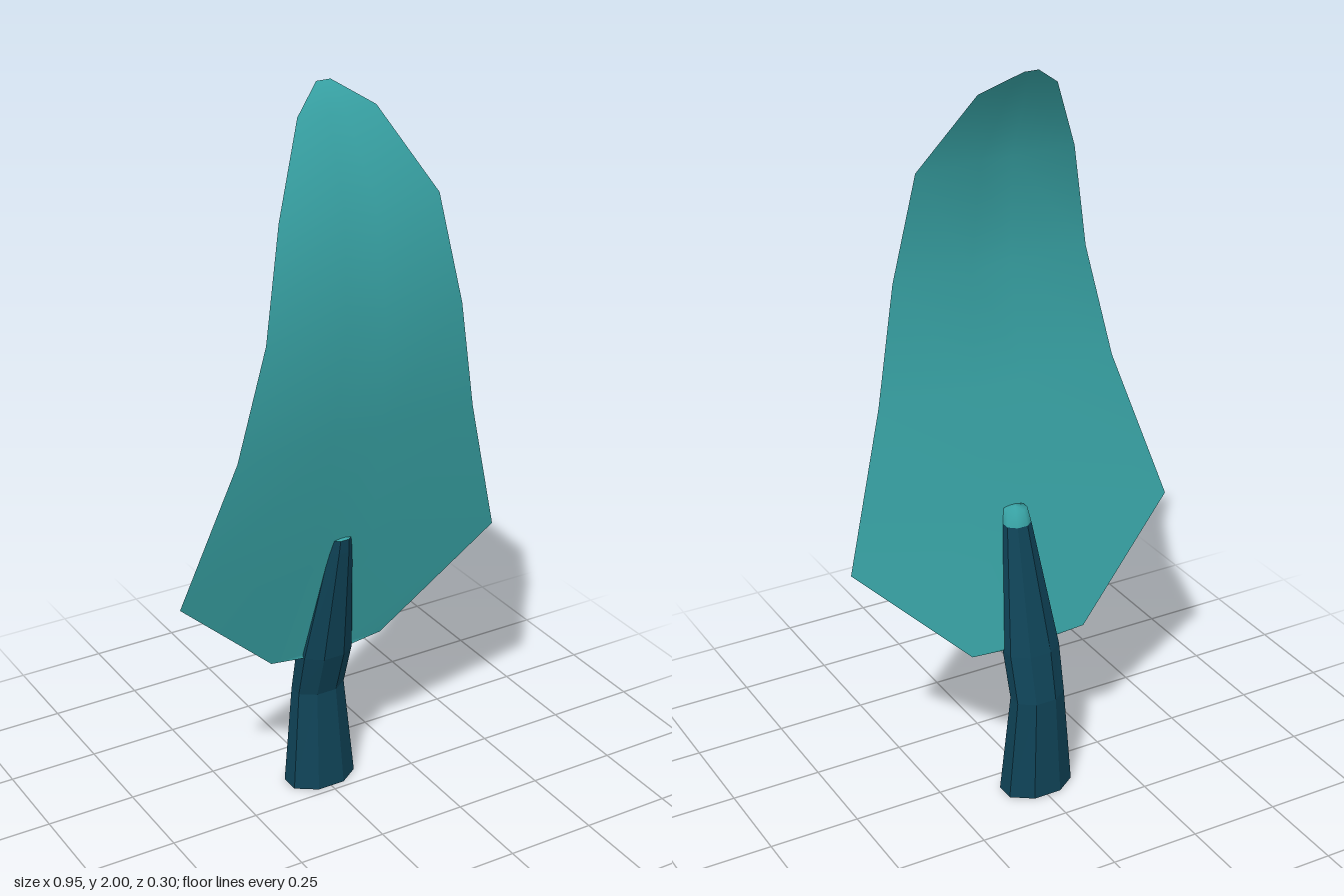
import * as THREE from 'three';

// Builds a sheet of quads from rows of points; keep(i, j) picks the quads used
function sheet(rows, keep = () => true) {
  const n = rows[0].length;
  const index = [];
  for (let j = 0; j < rows.length - 1; j++) {
    for (let i = 0; i < n - 1; i++) {
      if (!keep(i, j)) continue;
      const a = j * n + i, b = a + 1, c = b + n, d = a + n;
      index.push(a, b, c, a, c, d);
    }
  }
  const geo = new THREE.BufferGeometry();
  geo.setAttribute('position', new THREE.Float32BufferAttribute(rows.flat(2), 3));
  geo.setIndex(index);
  geo.computeVertexNormals();
  return geo;
}

// Eight-sided cross-section of the stalk
function ring([y, halfWidth, front, back]) {
  const k = 1 / Math.cos(Math.PI / 8);
  const mid = (front + back) / 2, depth = (front - back) / 2;
  return Array.from({ length: 9 }, (_, i) => {
    const a = (i + 0.5) * Math.PI / 4;
    return [Math.sin(a) * halfWidth * k, y, mid + Math.cos(a) * depth * k];
  });
}

export function createModel() {
  const group = new THREE.Group();
  const leafTeal = new THREE.MeshStandardMaterial({ color: 0x38a3a5, side: THREE.DoubleSide });
  leafTeal.name = 'leafTeal';
  const tipTeal = leafTeal;
  const stalkBlue = new THREE.MeshStandardMaterial({ color: 0x0f4357, side: THREE.DoubleSide, flatShading: true });
  stalkBlue.name = 'stalkBlue';

  const add = (name, geo, mat) => {
    const mesh = new THREE.Mesh(geo, mat);
    mesh.name = name;
    group.add(mesh);
  };

  // Leaf blade: y, half width, z, set-back of the middle
  const bladeRows = [
    [0.42, 0.07, -0.042, 0],
    [0.43, 0.17, -0.046, 0],
    [0.72, 0.475, 0.035, 0.014],
    [1.13, 0.345, 0.115, 0],
    [1.44, 0.28, 0.15, 0],
    [1.73, 0.225, 0.12, 0],
    [1.94, 0.11, 0.01, 0],
    [2.0, 0.02, -0.055, 0],
  ].map(([y, w, z, dip]) =>
    [-1, -0.2, 0.2, 1].map((s) => [s * w, y, Math.abs(s) < 1 ? z - dip : z]));
  add('leafBlade', sheet(bladeRows), leafTeal);

  // Stalk: y, half width, front z, back z
  const stalkRows = [
    [0, 0.096, -0.02, -0.152],
    [0.29, 0.071, -0.045, -0.142],
    [0.42, 0.074, -0.005, -0.112],
    [0.76, 0.036, 0.046, -0.014],
    [0.8, 0.03, 0.05, 0],
    [0.807, 0.0, 0.025, 0.025],
  ].map(ring);
  add('stalk', sheet(stalkRows.slice(0, 4)), stalkBlue);

  // Stalk tip: dark in front, leaf coloured behind and on top
  const isFront = (i, j) => j === 0 && (i === 0 || i >= 6);
  const tip = stalkRows.slice(3);
  add('stalkTipFront', sheet(tip, isFront), stalkBlue);
  add('stalkTipBack', sheet(tip, (i, j) => !isFront(i, j)), tipTeal);

  return group;
}
